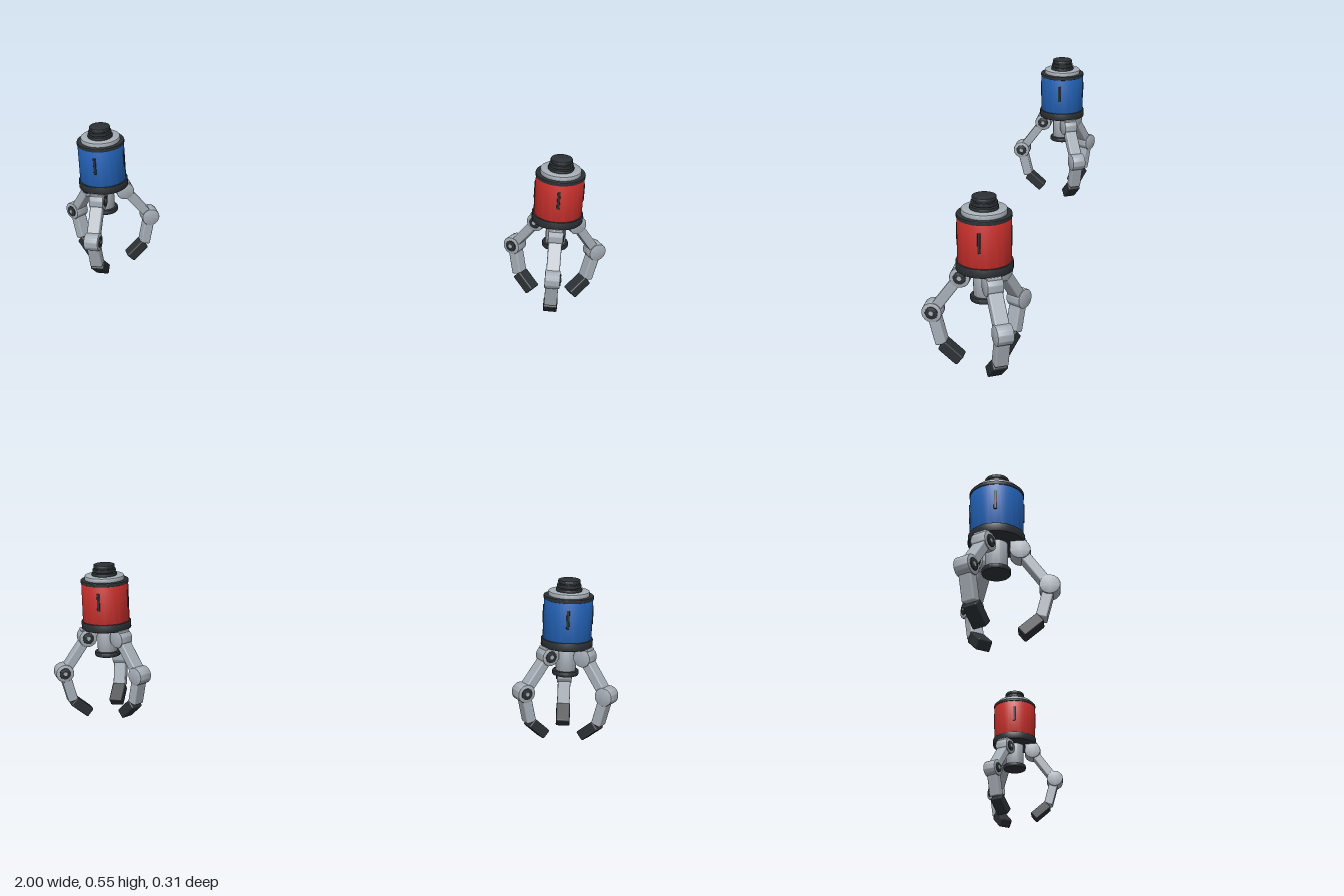
import * as THREE from 'three';
import { toCreasedNormals } from 'three/addons/utils/BufferGeometryUtils.js';
import { RoundedBoxGeometry } from 'three/addons/geometries/RoundedBoxGeometry.js';

const mat = (color) => new THREE.MeshStandardMaterial({ color });
const metal = mat(0xa6aeb6);
const dark = mat(0x2c3135);

function add(parent, name, geometry, material) {
  const mesh = new THREE.Mesh(geometry, material);
  mesh.name = name;
  parent.add(mesh);
  return mesh;
}

// Upright disc from y0 to y1 with a small chamfer on both rims
function discGeometry(r, y0, y1, bevel = 0.003) {
  const profile = [
    [0, y0], [r - bevel, y0], [r - bevel * 0.3, y0 + bevel * 0.3], [r, y0 + bevel],
    [r, y1 - bevel], [r - bevel * 0.3, y1 - bevel * 0.3], [r - bevel, y1], [0, y1],
  ].map(([x, y]) => new THREE.Vector2(x, y));
  return toCreasedNormals(new THREE.LatheGeometry(profile, 48), 0.6);
}

// Rounded bar between two points of the finger's plane, given as [radius, height]
function bar(parent, name, [z0, y0], [z1, y1], width, depth, material) {
  const length = Math.hypot(z1 - z0, y1 - y0);
  const mesh = add(parent, name, new RoundedBoxGeometry(width, length, depth, 3, 0.005), material);
  mesh.position.set(0, (y0 + y1) / 2, (z0 + z1) / 2);
  mesh.rotation.x = Math.atan2(z1 - z0, y1 - y0);
}

// Hinge barrel across the finger, with a dark cap and a pin on one side
function joint(parent, name, [z, y], radius, width) {
  const hinge = new THREE.Group();
  hinge.name = name;
  hinge.position.set(0, y, z);
  hinge.rotation.z = -Math.PI / 2; // local +y becomes the finger's +x side
  const h = width / 2;
  add(hinge, 'barrel', discGeometry(radius, -h, h), metal);
  add(hinge, 'cap', discGeometry(0.02, h - 0.002, h + 0.003, 0.001), dark);
  add(hinge, 'pin', discGeometry(0.0075, h, h + 0.005, 0.001), metal);
  parent.add(hinge);
}

// One finger reaching out along +z, then curling inwards
function createFinger() {
  const finger = new THREE.Group();
  finger.name = 'finger';
  const shoulder = [0.073, 0.295];
  const elbow = [0.162, 0.173];
  const wrist = [0.135, 0.066];
  const bracket = add(finger, 'shoulderBracket', new RoundedBoxGeometry(0.046, 0.036, 0.052, 3, 0.003), metal);
  bracket.position.set(0, 0.309, 0.068);
  joint(finger, 'shoulderJoint', shoulder, 0.032, 0.052);
  bar(finger, 'upperArm', shoulder, elbow, 0.046, 0.032, metal);
  joint(finger, 'elbowJoint', elbow, 0.032, 0.052);
  bar(finger, 'lowerArm', elbow, wrist, 0.044, 0.035, metal);
  bar(finger, 'fingertip', [0.134, 0.065], [0.076, 0.015], 0.048, 0.036, dark);
  return finger;
}

function createGripper(name, paint) {
  const gripper = new THREE.Group();
  gripper.name = name;

  // Turned parts on the main axis: name, radius, bottom, top, material
  const discs = [
    ['palmPad', 0.045, 0.22, 0.238, dark],
    ['palmColumn', 0.035, 0.235, 0.33, metal],
    ['lowerCollar', 0.088, 0.323, 0.352, dark],
    ['housing', 0.083, 0.345, 0.492, paint],
    ['upperCollar', 0.085, 0.489, 0.502, dark],
    ['topFlange', 0.07, 0.498, 0.517, metal],
    ['connectorCore', 0.034, 0.51, 0.55, dark],
    ['connectorRing', 0.0445, 0.515, 0.527, dark],
    ['connectorRing', 0.041, 0.529, 0.541, dark],
    ['connectorRing', 0.0375, 0.543, 0.556, dark],
  ];
  for (const [part, r, y0, y1, material] of discs) {
    add(gripper, part, discGeometry(r, y0, y1, part === 'palmPad' ? 0.004 : 0.003), material);
  }

  // Four vertical slots around the housing
  for (let i = 0; i < 4; i++) {
    const a = (i * Math.PI) / 2;
    const slot = add(gripper, 'slot', new RoundedBoxGeometry(0.01, 0.064, 0.006, 2, 0.002), dark);
    slot.position.set(Math.sin(a) * 0.0825, 0.434, Math.cos(a) * 0.0825);
    slot.rotation.y = a;
  }

  // Three fingers
  for (let i = 0; i < 3; i++) {
    const finger = createFinger();
    finger.rotation.y = (i * Math.PI * 2) / 3;
    gripper.add(finger);
  }
  return gripper;
}

export function createModel() {
  const model = new THREE.Group();
  model.name = 'gripperPair';
  const left = createGripper('leftGripper', mat(0xc9302c));
  const right = createGripper('rightGripper', mat(0x2262b5));
  left.position.set(0.818, 0, -0.037);
  right.position.set(-0.818, 0, -0.037);
  model.add(left, right);
  return model;
}
